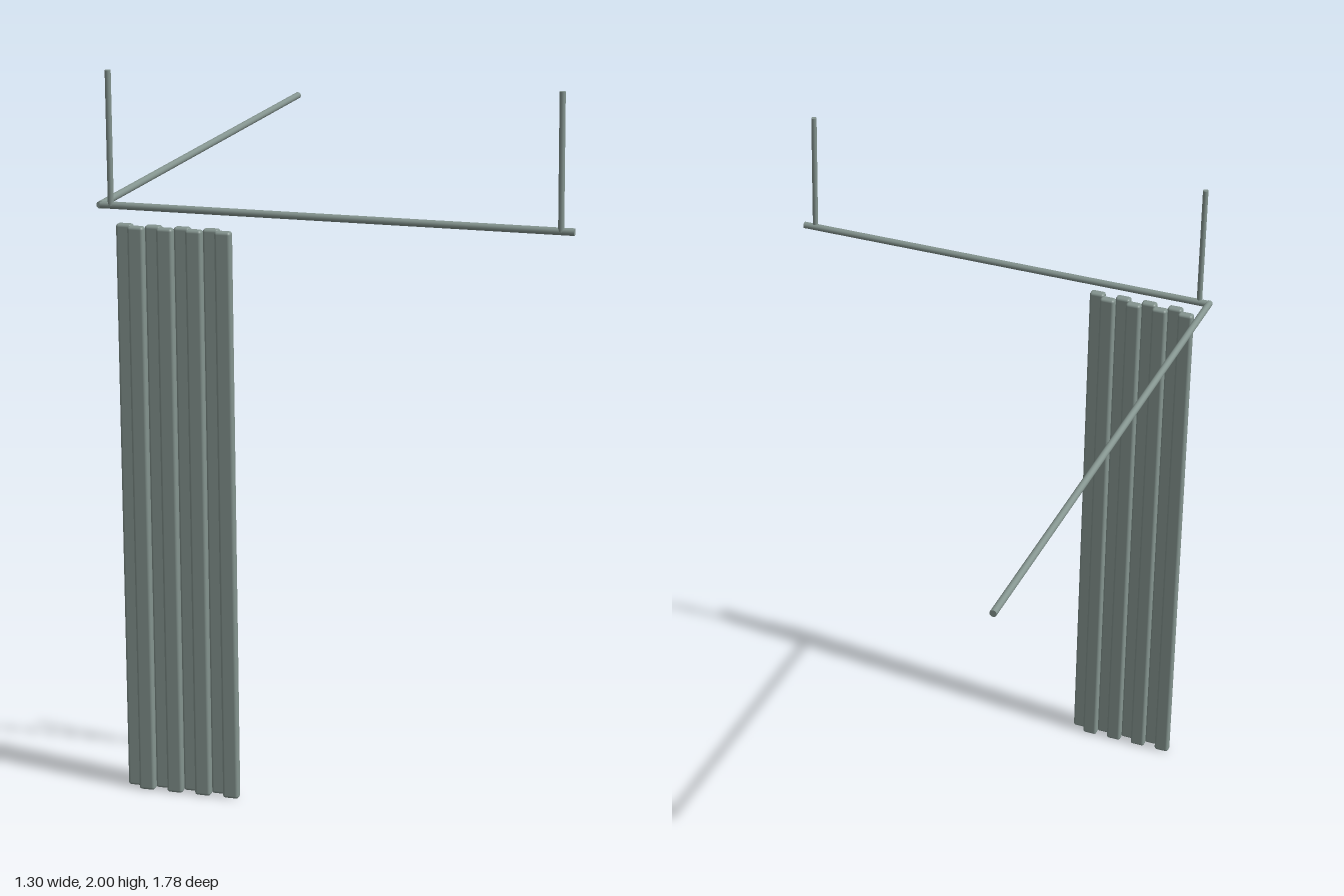
import * as THREE from 'three';
import { RoundedBoxGeometry } from 'three/addons/geometries/RoundedBoxGeometry.js';

export function createModel() {
  const model = new THREE.Group();
  model.name = 'curtainRail';
  const greyGreen = new THREE.MeshStandardMaterial({ color: 0x84948f });
  greyGreen.name = 'greyGreen';

  // Round bar between two points
  function bar(name, from, to, radius) {
    const a = new THREE.Vector3(...from);
    const b = new THREE.Vector3(...to);
    const dir = b.clone().sub(a);
    const mesh = new THREE.Mesh(new THREE.CylinderGeometry(radius, radius, dir.length(), 16), greyGreen);
    mesh.name = name;
    mesh.position.copy(a).add(b).multiplyScalar(0.5);
    mesh.quaternion.setFromUnitVectors(new THREE.Vector3(0, 1, 0), dir.normalize());
    model.add(mesh);
  }

  // L-shaped rail and its ceiling hangers
  const railY = 1.637, railZ = 0.85;
  bar('frontRail', [-0.642, railY, railZ], [0.65, railY, railZ], 0.01);
  bar('sideRail', [-0.642, railY, 0.856], [-0.642, railY, -0.89], 0.01);
  bar('rightHanger', [-0.612, railY, 0.853], [-0.612, 2, 0.853], 0.008);
  bar('leftHanger', [0.615, railY, 0.853], [0.615, 2, 0.853], 0.008);

  // Gathered curtain: pleats alternating between a back and a front row
  const curtain = new THREE.Group();
  curtain.name = 'curtain';
  const pleat = new RoundedBoxGeometry(0.045, 1.59, 0.027, 3, 0.008);
  for (let i = 0; i < 8; i++) {
    const mesh = new THREE.Mesh(pleat, greyGreen);
    mesh.name = i % 2 ? 'frontPleat' : 'backPleat';
    mesh.position.set(-0.574 + i * 0.0405, 0.795, i % 2 ? 0.8765 : 0.852);
    curtain.add(mesh);
  }
  model.add(curtain);
  return model;
}
